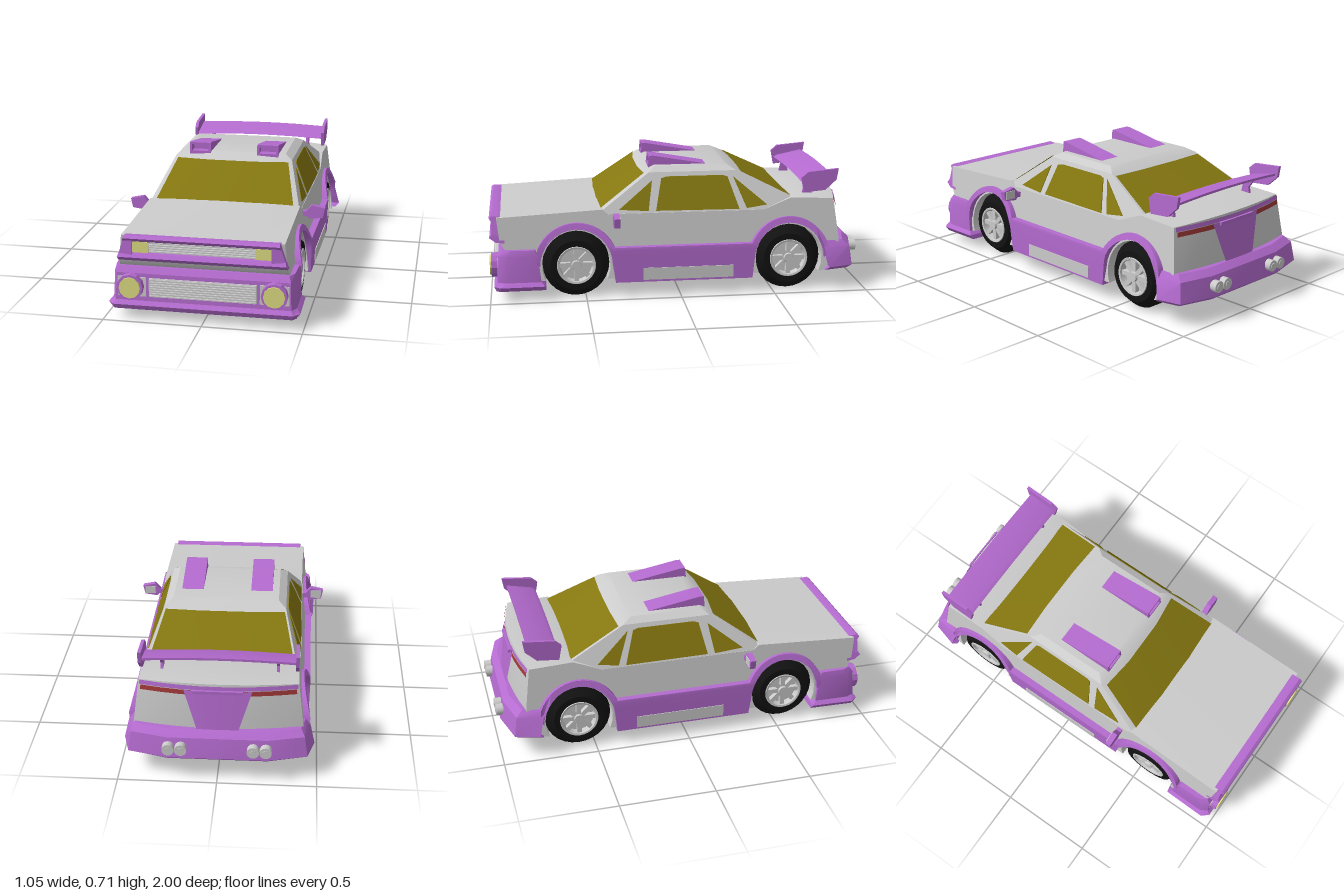
import * as THREE from 'three';
import { toCreasedNormals } from 'three/addons/utils/BufferGeometryUtils.js';

const mat = (color, side = THREE.FrontSide) => new THREE.MeshStandardMaterial({ color, side });
const grey = mat(0xcccccc), purple = mat(0xb46bcf), black = mat(0x121212);
const lampMat = mat(0xdcdc82), glass = mat(0x857710, THREE.DoubleSide);
const redSheet = mat(0xa03838, THREE.DoubleSide), purpleSheet = mat(0xb46bcf, THREE.DoubleSide);

// Piecewise linear lookup in [key, value] pairs with rising keys
function lookup(t, pairs) {
  if (t <= pairs[0][0]) return pairs[0][1];
  for (let i = 1; i < pairs.length; i++) {
    const [a, va] = pairs[i - 1], [b, vb] = pairs[i];
    if (t <= b) return va + (vb - va) * (t - a) / (b - a);
  }
  return pairs[pairs.length - 1][1];
}
// Half widths by height, and the bowed tail surface
const bodyHalf = y => 0.405 - (y - 0.44) * 0.12;
const claddingHalf = y => lookup(y, [[0.08, 0.457], [0.27, 0.46], [0.4, 0.425]]);
const cabinHalf = y => 0.403 - (y - 0.44) * 0.083 / 0.2;
const tailBow = 0.05;
const rearZ = (x, y) => -0.83 - (0.49 - y) * 0.136 - tailBow * (1 - (x / bodyHalf(y)) ** 2);

// Side profile of [z, y] points, extruded from x0 to x1; warp(v) may move its vertices
function slab(pts, x0, x1, warp, steps = 1) {
  const shape = new THREE.Shape(pts.map(([z, y]) => new THREE.Vector2(-z, y)));
  const g = new THREE.ExtrudeGeometry(shape, { depth: x1 - x0, steps, bevelEnabled: false });
  g.rotateY(Math.PI / 2).translate(x0, 0, 0);
  if (warp) {
    const p = g.attributes.position, v = new THREE.Vector3();
    for (let i = 0; i < p.count; i++) {
      warp(v.fromBufferAttribute(p, i));
      p.setXYZ(i, v.x, v.y, v.z);
    }
  }
  return g;
}
// Arc of [z, y] points, angles in degrees
function arc(zc, yc, r, from, to, n = 16) {
  return Array.from({ length: n + 1 }, (_, i) => {
    const a = (from + (to - from) * i / n) * Math.PI / 180;
    return [zc + r * Math.cos(a), yc + r * Math.sin(a)];
  });
}
function fromTriangles(pos, index) {
  const g = new THREE.BufferGeometry();
  g.setAttribute('position', new THREE.Float32BufferAttribute(pos.flat(), 3));
  g.setIndex(index);
  return g;
}
// Mirrored plan outline at height y; half lists [x, z] from back to front
const ring = (y, half) => [...half.map(([x, z]) => [x, y, z]), ...half.map(([x, z]) => [-x, y, z]).reverse()];
// Closed solid through rings, lowest first
function loft(rings) {
  const n = rings[0].length, idx = [], top = (rings.length - 1) * n;
  for (let i = 0; i < rings.length - 1; i++) for (let j = 0; j < n; j++) {
    const a = i * n + j, b = i * n + (j + 1) % n;
    idx.push(a, a + n, b, b, a + n, b + n);
  }
  for (let j = 0; j < n / 2 - 1; j++) {
    const a = j, b = j + 1, c = n - 1 - j, d = n - 2 - j;
    idx.push(a, b, c, b, d, c, top + a, top + c, top + b, top + b, top + c, top + d);
  }
  return fromTriangles(rings.flat(), idx);
}
// Open sheet between two rows of points
function sheet(lower, upper) {
  const n = lower.length, idx = [];
  for (let i = 0; i < n - 1; i++) idx.push(i, i + 1, n + i, i + 1, n + i + 1, n + i);
  return fromTriangles([...lower, ...upper], idx);
}
const box = (w, h, d, x, y, z) => new THREE.BoxGeometry(w, h, d).translate(x, y, z);
const disc = (r, len, x, y, z, n = 12) =>
  new THREE.CylinderGeometry(r, r, len, n).rotateX(Math.PI / 2).translate(x, y, z);

function add(parent, name, geometry, material) {
  const m = new THREE.Mesh(toCreasedNormals(geometry, 0.5), material);
  m.name = name;
  parent.add(m);
}

export function createModel() {
  const car = new THREE.Group();
  car.name = 'car';
  const axles = [0.55, -0.585], axleY = 0.18;

  // Main shell with wheel arches, tapered upward, bowed hood and tail
  const shell = [[0.96, 0.437], [0.41, 0.465], [0.38, 0.44], [-0.45, 0.44], [-0.6, 0.5], [-0.83, 0.49], [-0.86, 0.27],
    [-0.86, 0.12], ...arc(axles[1], axleY, 0.18, 206, -26), ...arc(axles[0], axleY, 0.18, 206, -26),
    [0.92, 0.1], [0.92, 0.27], [0.945, 0.31]];
  add(car, 'bodyShell', slab(shell, -1, 1, v => {
    const bow = 1 - v.x * v.x;
    v.x *= bodyHalf(v.y);
    if (v.y > 0.43 && v.z < 0.9) v.y += 0.01 * bow;
    if (v.z < -0.8) v.z -= tailBow * bow;
  }, 8), grey);
  add(car, 'floor', box(0.48, 0.24, 1.75, 0, 0.22, 0.03), grey);

  // Cabin
  const base = [[0.13, -0.725], [0.403, -0.725], [0.403, 0.435], [0.375, 0.445], [0.13, 0.465]];
  const eave = [[0.13, -0.325], [0.32, -0.315], [0.32, 0.155], [0.3, 0.165], [0.13, 0.185]];
  const roof = [[0.13, -0.27], [0.28, -0.265], [0.28, 0.115], [0.255, 0.12], [0.13, 0.135]];
  add(car, 'cabin', loft([ring(0.44, base), ring(0.64, eave), ring(0.665, roof)]), grey);
  // Glass between base and eave corners i and j, inset sideways by the factor k
  const pane = (i, j, v0, v1, dz, k) => {
    const row = v => {
      const [a, b] = [i, j].map(n => [0, 1].map(c => base[n][c] + (eave[n][c] - base[n][c]) * v));
      const y = 0.443 + 0.2 * v;
      return [[a[0] * k, y, a[1] + dz], [b[0], y, b[1] + dz], [-b[0], y, b[1] + dz], [-a[0] * k, y, a[1] + dz]];
    };
    return sheet(row(v0), row(v1));
  };
  add(car, 'windshield', pane(3, 4, 0.05, 0.96, 0.003, 1), glass);
  add(car, 'rearWindow', pane(1, 0, 0.3, 0.95, -0.003, 0.97), glass);

  // Front bumper, hollow below, with flared lower lip
  add(car, 'frontBumper', loft([
    ring(0.11, [[0.43, 0.71], [0.43, 0.9], [0.4, 0.925]]),
    ring(0.055, [[0.457, 0.71], [0.462, 0.945], [0.445, 0.968]]),
    ring(0.08, [[0.477, 0.715], [0.482, 0.945], [0.45, 0.98]]),
    ring(0.1, [[0.46, 0.735], [0.462, 0.92], [0.44, 0.962]]),
    ring(0.24, [[0.458, 0.75], [0.455, 0.91], [0.435, 0.955]]),
    ring(0.27, [[0.452, 0.765], [0.448, 0.895], [0.425, 0.935]])]), purple);
  add(car, 'lowerGrille', box(0.54, 0.095, 0.03, 0, 0.172, 0.95), grey);
  for (let i = 0; i < 8; i++) add(car, 'lowerGrilleSlat', box(0.53, 0.006, 0.012, 0, 0.13 + i * 0.012, 0.968), grey);

  // Upper nose: lips, back plate and slats
  const noseWarp = v => { v.x *= lookup(v.y, [[0.28, 0.425], [0.34, 0.418], [0.44, 0.385]]); };
  add(car, 'noseTopLip', slab([[0.955, 0.442], [0.985, 0.443], [0.998, 0.432], [0.985, 0.415], [0.93, 0.415], [0.93, 0.436]], -1, 1, noseWarp), purple);
  add(car, 'noseLowerLip', slab([[0.92, 0.355], [0.985, 0.353], [0.998, 0.335], [0.965, 0.31], [0.92, 0.305]], -1, 1, noseWarp), purple);
  add(car, 'noseBackPlate', box(0.74, 0.08, 0.04, 0, 0.385, 0.94), purple);
  for (let i = 0; i < 5; i++) add(car, 'upperGrilleSlat', box(0.53, 0.007, 0.018, 0, 0.362 + i * 0.011, 0.965), grey);

  // Rear bumper, hollow below
  add(car, 'rearBumper', loft([
    ring(0.145, [[0.22, -0.93], [0.4, -0.88], [0.425, -0.775]]),
    ring(0.11, [[0.25, -0.955], [0.43, -0.905], [0.465, -0.78]]),
    ring(0.13, [[0.25, -0.98], [0.45, -0.93], [0.485, -0.8]]),
    ring(0.235, [[0.25, -0.96], [0.435, -0.915], [0.46, -0.775]]),
    ring(0.265, [[0.25, -0.925], [0.415, -0.88], [0.44, -0.775]])]), purple);

  // Tail trim, light strip and centre panel following the bowed tail
  const tail = (hTop, yTop, hLow, yLow, off) => {
    const row = (h, y) => Array.from({ length: 9 }, (_, i) => {
      const x = h * (i / 4 - 1);
      return [x, y, rearZ(x, y) - off];
    });
    return sheet(row(hLow, yLow), row(hTop, yTop));
  };
  add(car, 'tailTrim', tail(0.393, 0.49, 0.395, 0.468, 0.006), purpleSheet);
  add(car, 'tailLightStrip', tail(0.388, 0.466, 0.39, 0.442, 0.007), redSheet);
  add(car, 'tailPanel', tail(0.17, 0.468, 0.1, 0.25, 0.012), purpleSheet);
  add(car, 'tailPanelLip', box(0.25, 0.016, 0.03, 0, 0.462, -0.885), purple);

  // Rear wing blade, slightly arched
  add(car, 'wingBlade', slab([[-0.67, 0.565], [-0.69, 0.578], [-0.83, 0.607], [-0.83, 0.595], [-0.72, 0.563]], -0.385, 0.385,
    v => { v.y += 0.012 * (1 - (v.x / 0.385) ** 2); }, 8), purple);

  // Everything that comes in left and right pairs
  for (const s of [1, -1]) {
    const half = new THREE.Group();
    half.name = s > 0 ? 'leftParts' : 'rightParts';
    half.scale.x = s;
    car.add(half);

    // Side windows
    const windows = {
      quarterLight: [[0.32, 0.46], [0.14, 0.6], [0.165, 0.45]],
      doorWindow: [[0.125, 0.45], [0.09, 0.61], [0.06, 0.618], [-0.24, 0.618], [-0.265, 0.61], [-0.32, 0.447]],
      rearQuarterWindow: [[-0.295, 0.61], [-0.47, 0.465], [-0.36, 0.45]]
    };
    for (const [name, pts] of Object.entries(windows))
      add(half, name, slab(pts, 0, 0.006, v => { v.x += cabinHalf(v.y) - 0.002; }), glass);

    // Skirt and wheel arch flares in one strip
    const cladding = [[0.76, 0.2], ...arc(axles[0], axleY, 0.222, 24, 156), ...arc(axles[1], axleY, 0.222, 24, 156),
      [-0.79, 0.2], ...arc(axles[1], axleY, 0.19, 180, 0), [-0.385, 0.08], [0.345, 0.08],
      ...arc(axles[0], axleY, 0.19, 180, 0)];
    add(half, 'sideSkirt', slab(cladding, 0, 1, v => { v.x = v.x > 0.5 ? claddingHalf(v.y) : 0.385; }), purple);
    add(half, 'skirtPanel', box(0.02, 0.065, 0.48, 0.452, 0.124, -0.04), grey);

    // Wheels
    for (const z of axles) {
      const wheel = new THREE.Group();
      wheel.name = 'wheel';
      wheel.position.set(0, axleY - 0.004, z);
      half.add(wheel);
      const lathe = pts => new THREE.LatheGeometry(pts.map(p => new THREE.Vector2(...p)), 28).rotateZ(-Math.PI / 2);
      add(wheel, 'tyre', lathe([[0, 0.245], [0.14, 0.245], [0.176, 0.28], [0.176, 0.385], [0.135, 0.434], [0.102, 0.434]]), black);
      add(wheel, 'rim', lathe([[0.104, 0.432], [0.1, 0.438], [0.09, 0.436], [0.084, 0.4], [0, 0.4]]), grey);
      add(wheel, 'hub', new THREE.CylinderGeometry(0.024, 0.036, 0.045, 12).rotateZ(-Math.PI / 2).translate(0.415, 0, 0), grey);
      for (let i = 0; i < 8; i++)
        add(wheel, 'spoke', box(0.028, 0.066, 0.024, 0.412, 0.056, 0).rotateX(i * Math.PI / 4), grey);
    }

    // Headlamps and fog lamps
    add(half, 'fogLampSurround', box(0.145, 0.1, 0.03, 0.357, 0.172, 0.946), grey);
    add(half, 'fogLampRing', disc(0.066, 0.05, 0.36, 0.176, 0.967), purple);
    add(half, 'fogLamp', disc(0.054, 0.05, 0.36, 0.176, 0.975), lampMat);
    add(half, 'headlamp', box(0.08, 0.055, 0.03, 0.305, 0.385, 0.965), lampMat);
    add(half, 'noseCheek', slab([[0.93, 0.345], [0.99, 0.345], [0.99, 0.42], [0.93, 0.42]], 0.345, 0.395,
      v => { if (v.x > 0.37) { v.x = lookup(v.y, [[0.34, 0.416], [0.44, 0.384]]); v.z -= 0.005; } }), purple);

    // Door mirror
    const mirror = new THREE.Shape([[0.395, 0.39], [0.43, 0.395], [0.445, 0.38], [0.515, 0.39], [0.525, 0.44],
      [0.455, 0.455], [0.425, 0.42], [0.395, 0.42]].map(p => new THREE.Vector2(...p)));
    add(half, 'mirror', new THREE.ExtrudeGeometry(mirror, { depth: 0.03, bevelEnabled: false }).translate(0, 0, 0.325), purple);
    add(half, 'mirrorGlass', box(0.06, 0.045, 0.006, 0.483, 0.417, 0.324), grey);

    // Hollow roof scoop
    const side = [[0.15, 0.655], [0.145, 0.714], [0.12, 0.714], [-0.165, 0.662], [-0.165, 0.65], [0.15, 0.65]];
    for (const x of [0.128, 0.232]) add(half, 'scoopSide', slab(side, x, x + 0.012), purple);
    add(half, 'scoopTop', slab([[0.145, 0.714], [0.12, 0.714], [-0.165, 0.664], [-0.165, 0.652], [0.145, 0.702]], 0.128, 0.244), purple);
    add(half, 'scoopInside', slab([[0.09, 0.7], [-0.16, 0.655], [0.09, 0.655]], 0.135, 0.237), purple);
    add(half, 'scoopLip', box(0.116, 0.016, 0.05, 0.186, 0.66, 0.125), purple);

    // Wing end plate and strut
    add(half, 'wingEndPlate', slab([[-0.655, 0.605], [-0.69, 0.635], [-0.855, 0.65], [-0.845, 0.59], [-0.785, 0.535], [-0.67, 0.525]], 0.38, 0.397), purple);
    add(half, 'wingStrut', slab([[-0.68, 0.485], [-0.7, 0.575], [-0.77, 0.585], [-0.73, 0.53], [-0.74, 0.485]], 0.285, 0.3), purple);

    // Twin exhausts
    for (const x of [0.18, 0.243]) {
      add(half, 'exhaustPipe', disc(0.031, 0.09, x, 0.185, -0.955, 14), grey);
      add(half, 'exhaustTip', disc(0.016, 0.01, x, 0.185, -0.998, 10), grey);
    }
  }
  return car;
}
